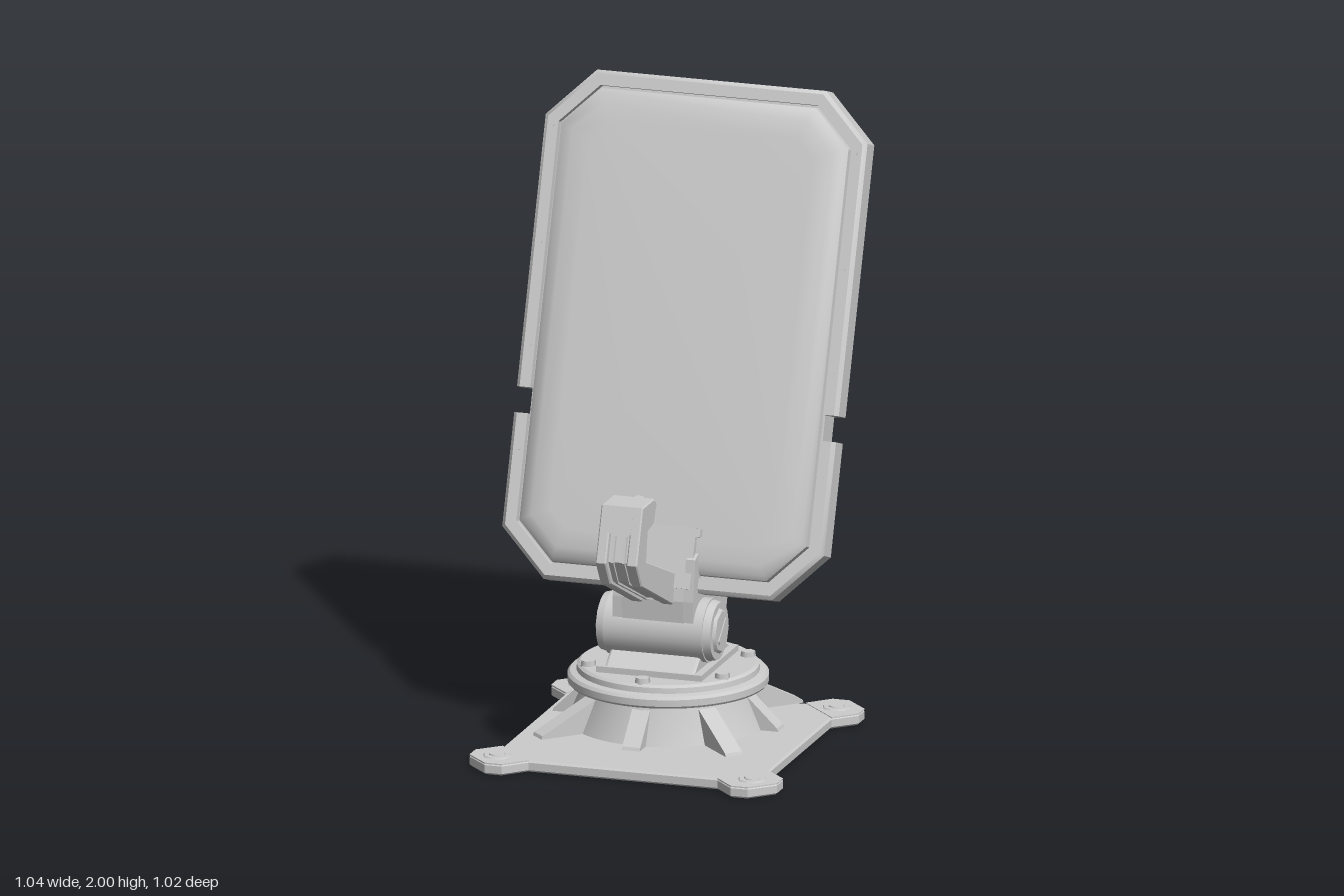
import * as THREE from 'three';
import { toCreasedNormals } from 'three/addons/utils/BufferGeometryUtils.js';

const mat = new THREE.MeshStandardMaterial({ color: 0xcccccc });

function add(parent, name, geo, x = 0, y = 0, z = 0, rx = 0, ry = 0, rz = 0) {
  const m = new THREE.Mesh(geo, mat);
  m.name = name;
  m.position.set(x, y, z);
  m.rotation.set(rx, ry, rz);
  parent.add(m);
}
const box = (w, h, d) => new THREE.BoxGeometry(w, h, d);
const cyl = (r0, r1, h, n = 32) => new THREE.CylinderGeometry(r0, r1, h, n);

// Extrudes a (z, y) side profile along x, centred on x
function side(profile, width, bevel = 0) {
  const shape = new THREE.Shape(profile.map(p => new THREE.Vector2(p[0], p[1])));
  const depth = width - 2 * bevel;
  const g = new THREE.ExtrudeGeometry(shape, {
    depth, bevelEnabled: bevel > 0, bevelSize: bevel, bevelOffset: -bevel, bevelThickness: bevel, bevelSegments: 1,
  });
  return g.translate(0, 0, -depth / 2).rotateY(-Math.PI / 2);
}

// Skin over rows of points; optionally closes the columns or caps the two ends
function loft(rows, closed, capped) {
  const n = rows[0].length, pos = rows.flat(2), idx = [];
  for (let i = 0; i < rows.length - 1; i++) {
    for (let j = 0; j < (closed ? n : n - 1); j++) {
      const k = (j + 1) % n;
      const a = i * n + j, b = i * n + k, c = (i + 1) * n + k, d = (i + 1) * n + j;
      idx.push(a, d, c, a, c, b);
    }
  }
  if (capped) {
    for (let i = 1; i < rows.length - 2; i++) {
      idx.push(0, (i + 1) * n, i * n);
      idx.push(n - 1, i * n + n - 1, (i + 1) * n + n - 1);
    }
  }
  const g = new THREE.BufferGeometry();
  g.setAttribute('position', new THREE.Float32BufferAttribute(pos, 3));
  g.setIndex(idx);
  return toCreasedNormals(g, 0.6);
}

// Panel outline: rectangle with clipped corners, inset by s, at depth w
const HALF_W = 0.52, HALF_H = 0.786, MID = 0.794, NOTCH_LOW = -0.285, NOTCH_HIGH = -0.205;
function outline(s, w) {
  const a = HALF_W - s, b = HALF_H - s, c = 0.15 - 0.586 * s;
  const top = [[a, b - c, w], [a - c, b, w], [c - a, b, w], [-a, b - c, w]];
  const bottom = [[-a, c - b, w], [c - a, -b, w], [a - c, -b, w], [a, c - b, w]];
  return { a, top, bottom };
}

function buildBase(g) {
  const base = new THREE.Group();
  base.name = 'base';
  base.position.z = 0.012;
  g.add(base);
  // Square plate with a clipped ear on each corner
  const corner = [[0.43, 0.305], [0.497, 0.37], [0.497, 0.425], [0.425, 0.497], [0.37, 0.497], [0.305, 0.43]];
  const pts = [];
  for (let q = 0; q < 4; q++) {
    pts.push(...corner.map(p => new THREE.Vector2(...p).rotateAround(new THREE.Vector2(), q * Math.PI / 2)));
  }
  const plate = new THREE.ExtrudeGeometry(new THREE.Shape(pts), {
    depth: 0.024, bevelThickness: 0.006, bevelSize: 0.006, bevelOffset: -0.006, bevelSegments: 1,
  });
  add(base, 'basePlate', plate, 0, 0.006, 0, -Math.PI / 2);
  const ear = new THREE.ExtrudeGeometry(new THREE.Shape(corner.map(p => new THREE.Vector2(...p))), {
    depth: 0.004, bevelEnabled: false,
  }).rotateX(-Math.PI / 2);
  for (let q = 0; q < 4; q++) {
    const e = new THREE.Group(); // raised ear with its anchor bolt
    e.name = 'anchorEar';
    e.rotation.y = q * Math.PI / 2;
    base.add(e);
    add(e, 'earPad', ear, 0, 0.034, 0);
    add(e, 'washer', cyl(0.042, 0.047, 0.006, 8), 0.412, 0.039, -0.412);
    add(e, 'nut', cyl(0.025, 0.03, 0.012, 6), 0.412, 0.04, -0.412);
  }
}

function buildTurntable(g) {
  const turn = new THREE.Group();
  turn.name = 'turntable';
  g.add(turn);
  const body = [[0, 0.075], [0.31, 0.075], [0.265, 0.18], [0.262, 0.195], [0.305, 0.197], [0.31, 0.204], [0.31, 0.225],
    [0.302, 0.234], [0.282, 0.238], [0.28, 0.255], [0.27, 0.262], [0.2, 0.262], [0, 0.262]];
  const lathe = new THREE.LatheGeometry(body.map(p => new THREE.Vector2(...p)), 48);
  add(turn, 'bearing', toCreasedNormals(lathe, 0.5));
  // Sloping ribs: long on the diagonals, short on the axes
  for (let i = 0; i < 8; i++) {
    const reach = i % 2 ? 0.45 : 0.365;
    const rib = side([[0.2, 0.075], [reach, 0.075], [reach - 0.004, 0.085], [0.265, 0.178], [0.2, 0.178]], 0.058);
    add(turn, 'rib', rib, 0, 0, 0, 0, i * Math.PI / 4);
  }
  for (let i = 0; i < 6; i++) {
    const t = i * Math.PI / 3;
    add(turn, 'flangeBolt', cyl(0.022, 0.025, 0.02, 6), 0.25 * Math.sin(t), 0.268, 0.25 * Math.cos(t), 0, t);
  }
}

function buildPivot(g) {
  const pivot = new THREE.Group();
  pivot.name = 'pivot';
  g.add(pivot);
  add(pivot, 'yokeFoot', box(0.34, 0.022, 0.36), 0, 0.27, 0.01);
  add(pivot, 'yoke', side([[0.19, 0.275], [0.12, 0.33], [0.12, 0.4], [0, 0.4], [-0.06, 0.335], [-0.17, 0.275]].reverse(), 0.29, 0.008));
  add(pivot, 'pivotBarrel', cyl(0.1, 0.1, 0.32, 32), 0, 0.39, 0.06, 0, 0, Math.PI / 2);
  // Solid saddle between the hinge cheeks
  add(pivot, 'saddle', side([[0.15, 0.42], [0.155, 0.5], [0.135, 0.59], [0.07, 0.59], [0, 0.5], [-0.01, 0.42]], 0.2));
  for (const s of [-1, 1]) {
    add(pivot, 'pivotCap', cyl(0.09, 0.095, 0.025, 24), s * 0.172, 0.39, 0.06, 0, 0, -s * Math.PI / 2);
    add(pivot, 'pivotNut', cyl(0.065, 0.078, 0.016, 8), s * 0.186, 0.39, 0.06, 0, 0, -s * Math.PI / 2);
    add(pivot, 'pivotSlot', box(0.006, 0.016, 0.09), s * 0.194, 0.39, 0.06, 0.7);
    add(pivot, 'hingeCheek', side([[0.15, 0.4], [0.15, 0.5], [0.13, 0.63], [0.07, 0.65], [0, 0.5], [-0.02, 0.4]], 0.03), s * 0.115);
  }
  // Drive housing passing under the panel, with a ribbed rear face
  const housing = [[0.15, 0.5], [0.14, 0.4], [0, 0.4], [-0.185, 0.355], [-0.225, 0.47], [-0.135, 0.55], [-0.05, 0.53], [0, 0.5]];
  add(pivot, 'driveHousing', side(housing.reverse(), 0.25, 0.008));
  for (let i = 0; i < 10; i++) {
    add(pivot, 'coolingFin', box(0.01, 0.085, 0.01), -0.09 + i * 0.02, 0.413, -0.206, -0.335);
  }
}

function buildArm(g) {
  const arm = new THREE.Group();
  arm.name = 'feedArm';
  g.add(arm);
  const cheek = [[0.1, 0.47], [0.17, 0.495], [0.46, 0.63], [0.51, 0.71], [0.45, 0.88], [0.34, 0.88], [0.31, 0.86],
    [0.34, 0.80], [0.4, 0.79], [0.415, 0.70], [0.13, 0.585]].reverse();
  for (const s of [-1, 1]) add(arm, 'armCheek', side(cheek, 0.034, 0.004), s * 0.05);
  // Recessed web; the beam stays open along its top
  const web = [[0.1, 0.49], [0.17, 0.51], [0.44, 0.635], [0.485, 0.71], [0.455, 0.80], [0.405, 0.79], [0.42, 0.70],
    [0.33, 0.655], [0.33, 0.615], [0.17, 0.54], [0.17, 0.59], [0.12, 0.57]].reverse();
  add(arm, 'armWeb', side(web, 0.075));
  add(arm, 'armHead', side([[0.45, 0.88], [0.34, 0.88], [0.34, 0.80], [0.4, 0.79], [0.478, 0.80]], 0.075));
  for (const x of [-0.018, 0.018]) {
    add(arm, 'armRidge', side([[0.16, 0.5], [0.445, 0.63], [0.495, 0.71], [0.47, 0.79], [0.44, 0.78], [0.45, 0.7], [0.16, 0.53]].reverse(), 0.008), x);
  }
  add(arm, 'feedTube', cyl(0.03, 0.015, 0.17, 12), 0, 0.585, 0.25, 1.13);
  // Receiver pointing at the panel
  add(arm, 'receiver', cyl(0.034, 0.038, 0.04, 12), 0, 0.84, 0.315, -Math.PI / 2);
  add(arm, 'receiverTip', cyl(0.02, 0.028, 0.03, 12), 0, 0.838, 0.28, -Math.PI / 2);
}

function buildPanel(g) {
  const panel = new THREE.Group();
  panel.name = 'panel';
  panel.position.set(0, 0.515, 0.12);
  panel.rotation.x = -0.34;
  g.add(panel);
  // Tray: gently domed front, shallow hollow back
  const loop = ([s, w]) => { const o = outline(s, w); return [...o.top, ...o.bottom]; };
  const middle = w => Array.from({ length: 8 }, () => [0, 0, w]);
  const tray = [middle(0.022), ...[[0.16, 0.022], [0.1, 0.018], [0.07, 0.005], [0.056, -0.008], [0.054, -0.03], [0.047, -0.03],
    [0.047, -0.122], [0.085, -0.118], [0.14, -0.09], [0.22, -0.072]].map(loop), middle(-0.07)];
  add(panel, 'reflectorTray', loft(tray, true, false), 0, MID, 0);
  // Rim in two runs, leaving a notch on each side
  const rim = [[0.047, -0.006], [0.012, -0.006], [0, -0.018], [0, -0.088], [0.05, -0.125], [0.047, -0.006]];
  const upper = rim.map(([s, w]) => { const o = outline(s, w); return [[o.a, NOTCH_HIGH, w], ...o.top, [-o.a, NOTCH_HIGH, w]]; });
  const lower = rim.map(([s, w]) => { const o = outline(s, w); return [[-o.a, NOTCH_LOW, w], ...o.bottom, [o.a, NOTCH_LOW, w]]; });
  add(panel, 'upperRim', loft(upper, false, true), 0, MID, 0);
  add(panel, 'lowerRim', loft(lower, false, true), 0, MID, 0);

  // Rear support frame
  add(panel, 'rearPlate', box(0.38, 0.72, 0.04), 0, 0.41, -0.082);
  add(panel, 'upperCover', side([[-0.05, 0.75], [-0.05, 1.15], [-0.09, 1.13], [-0.11, 1.03], [-0.15, 0.84], [-0.12, 0.76]], 0.37, 0.006));
  add(panel, 'coverFlange', side([[-0.05, 0.98], [-0.05, 1.18], [-0.08, 1.17], [-0.1, 0.98]], 0.47));
  add(panel, 'topTube', cyl(0.024, 0.032, 0.14, 12), 0, 1.16, -0.095);
  add(panel, 'ventBar', side([[-0.08, 0.65], [-0.08, 0.78], [-0.145, 0.76], [-0.125, 0.66]], 0.36));
  for (const x of [-0.07, 0, 0.07]) add(panel, 'vent', cyl(0.024, 0.016, 0.05, 4), x, 0.71, -0.13);
  add(panel, 'bottomBar', box(0.5, 0.03, 0.06), 0, 0.03, -0.13);
  const braceAngle = Math.atan2(0.32, 0.5);
  for (const s of [-1, 1]) {
    add(panel, 'rail', side([[-0.06, 0.02], [-0.06, 1.06], [-0.135, 1.06], [-0.145, 1.0], [-0.14, 0.9], [-0.17, 0.8], [-0.17, 0.02]], 0.045, 0.005), s * 0.195);
    add(panel, 'crossBrace', box(0.05, 0.58, 0.045), 0, 0.39, -0.115, 0, 0, s * braceAngle);
    add(panel, 'railClamp', box(0.03, 0.1, 0.04), s * 0.222, 1.0, -0.115);
    for (const u of [0.22, 0.94]) {
      add(panel, 'sideTab', box(0.07, 0.05, 0.035), s * 0.25, u, -0.088);
      add(panel, 'tabBolt', cyl(0.012, 0.014, 0.012, 6), s * 0.27, u, -0.108, -Math.PI / 2);
    }
    for (const u of [0.4, 0.72, 1.04, 1.4]) {
      add(panel, 'rimScrew', cyl(0.006, 0.006, 0.004, 8), s * 0.49, u, -0.006, Math.PI / 2);
    }
  }
  add(panel, 'braceHub', box(0.09, 0.09, 0.05), 0, 0.39, -0.115, 0, 0, Math.PI / 4);

  // Clamp gripping the lower front of the panel
  add(panel, 'frontClamp', box(0.24, 0.19, 0.03), 0, 0.11, 0.025);
  add(panel, 'clampLip', box(0.27, 0.025, 0.035), 0, 0.19, 0.022);
}

export function createModel() {
  const g = new THREE.Group();
  g.name = 'panelAntenna';
  buildBase(g);
  buildTurntable(g);
  buildPivot(g);
  buildArm(g);
  buildPanel(g);
  return g;
}
